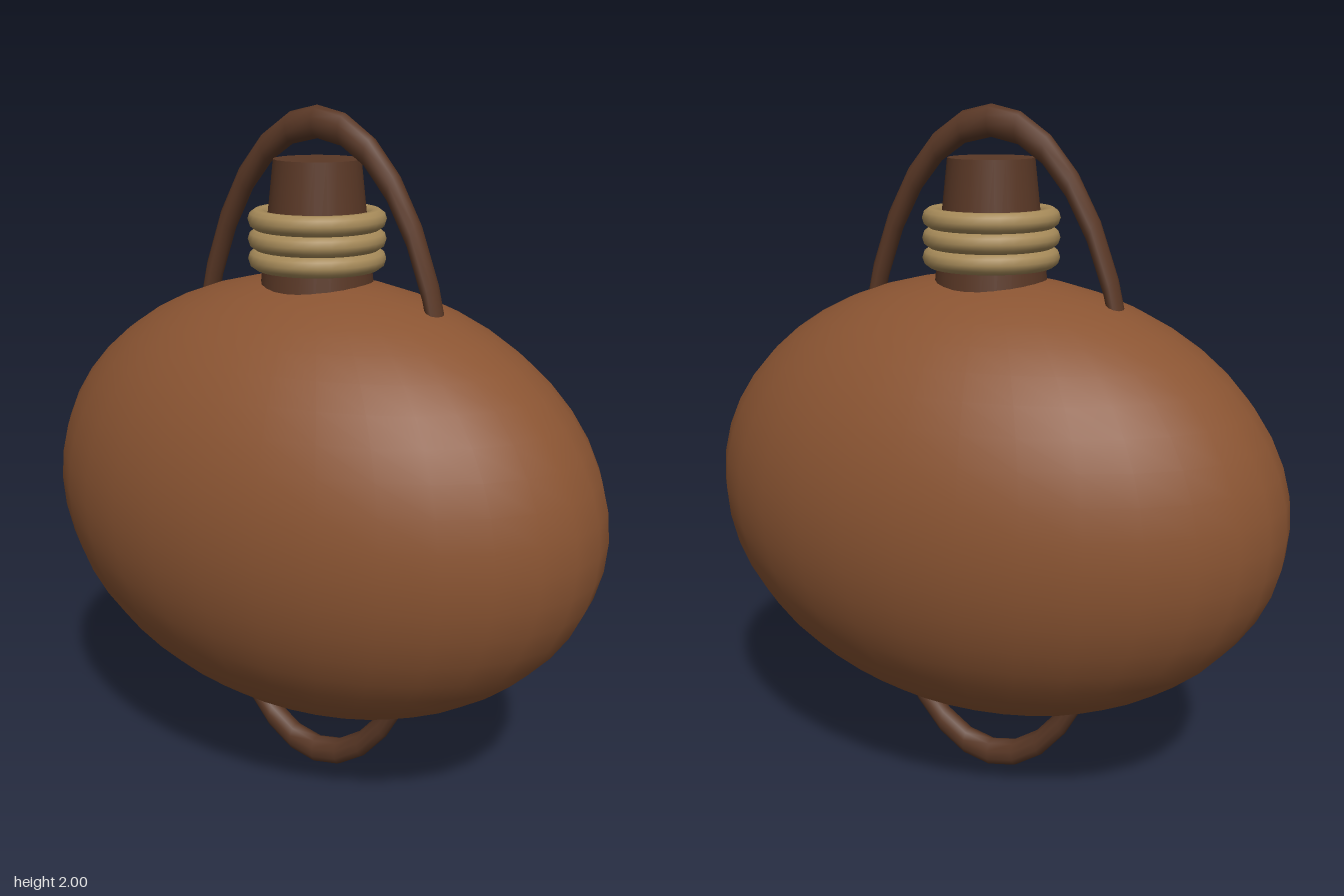
import * as THREE from 'three';

export function createModel() {
  const model = new THREE.Group();
  const leather = new THREE.MeshStandardMaterial({ color: 0x8a5432 });
  leather.name = 'brown leather';
  const darkLeather = new THREE.MeshStandardMaterial({ color: 0x5a3826 });
  darkLeather.name = 'dark leather';
  const cord = new THREE.MeshStandardMaterial({ color: 0xa68a59 });
  cord.name = 'tan cord';

  const add = (name, geometry, material, y) => {
    const mesh = new THREE.Mesh(geometry, material);
    mesh.name = name;
    mesh.position.y = y;
    model.add(mesh);
    return mesh;
  };

  // Plump flask body, flattened front to back
  add('body', new THREE.SphereGeometry(1, 32, 24), leather, 0.898).scale.set(0.872, 0.646, 0.555);

  // Tapered neck and stopper, sunk into the body
  add('neck', new THREE.CylinderGeometry(0.12, 0.164, 0.4, 24), darkLeather, 1.66);

  // Three turns of cord around the neck
  for (let i = 0; i < 3; i++) {
    const ring = new THREE.TorusGeometry(0.163, 0.028, 10, 32).rotateX(Math.PI / 2);
    add('cordRing' + (i + 1), ring, cord, 1.592 + i * 0.054);
  }

  // One tall strap loop running through the body, showing above and below it
  add('strapLoop', new THREE.TorusGeometry(1, 0.0455, 10, 32), darkLeather, 1)
    .scale.set(0.43, 0.9565, 0.75);

  return model;
}
